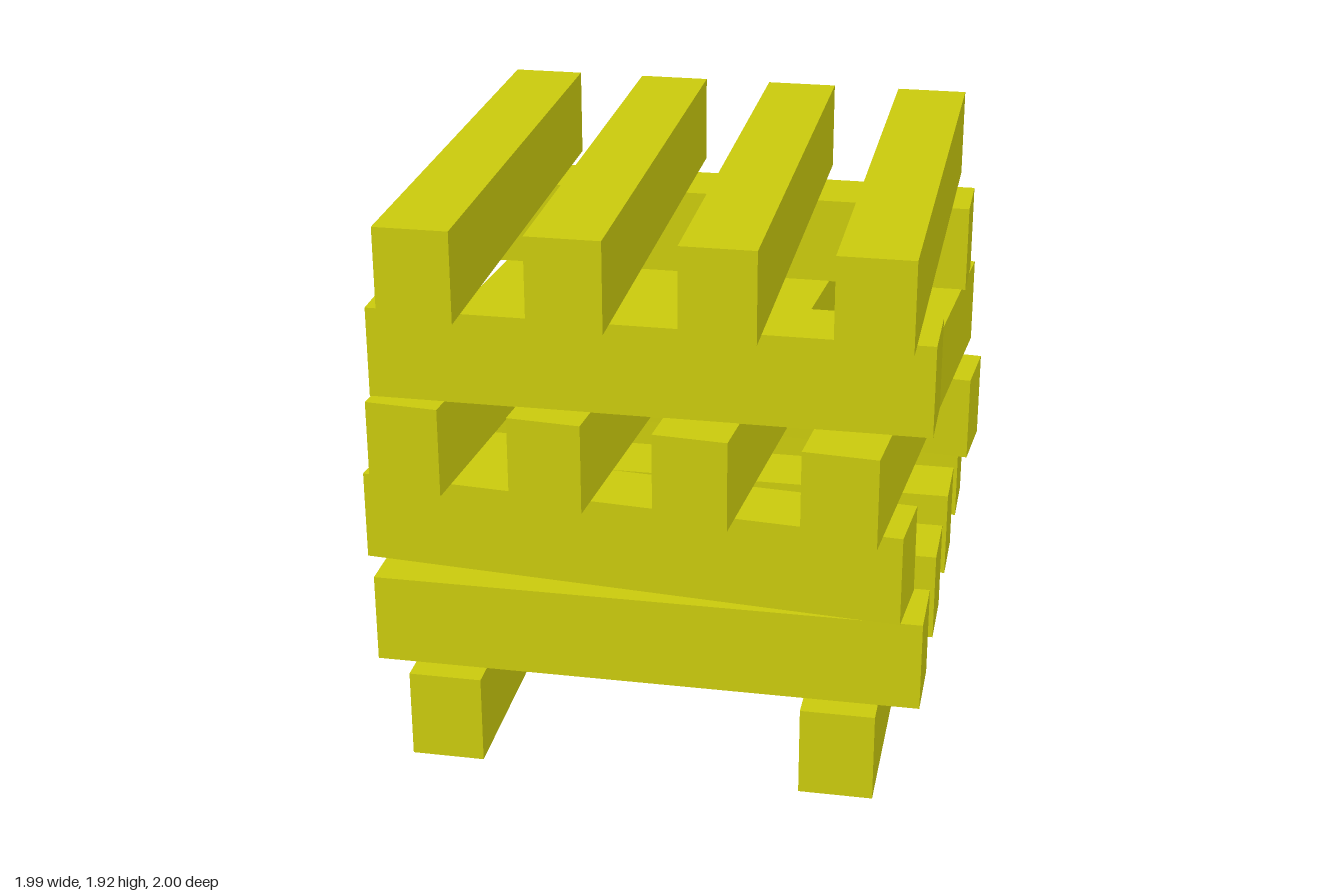
import * as THREE from 'three';

const LENGTH = 1.86, WIDTH = 0.25, HEIGHT = 0.313;
const TWIST = THREE.MathUtils.degToRad(-4.9);

// Each layer: bottom height, run axis, beam offsets across the run, twist and centre
const PAIR = [-0.672, 0.672];
const FOUR = [-0.735, -0.245, 0.245, 0.735];
const LAYERS = [
  { name: 'baseRunners', y: 0, axis: 'z', offsets: PAIR, twist: 0, x: -0.007, z: -0.002 },
  { name: 'lowerSlats', y: 0.329, axis: 'x', offsets: FOUR, twist: 0, x: 0, z: 0.01 },
  { name: 'lowerTwistedPair', y: 0.642, axis: 'x', offsets: PAIR, twist: TWIST, x: -0.003, z: 0.006 },
  { name: 'upperTwistedSlats', y: 0.969, axis: 'z', offsets: FOUR, twist: TWIST, x: 0.006, z: 0 },
  { name: 'upperPair', y: 1.281, axis: 'x', offsets: PAIR, twist: 0, x: 0, z: 0.003 },
  { name: 'topSlats', y: 1.607, axis: 'z', offsets: FOUR, twist: 0, x: 0.01, z: -0.003 },
];

export function createModel() {
  const model = new THREE.Group();
  model.name = 'stackedBeams';
  const wood = new THREE.MeshStandardMaterial({ color: 0xcccc0d });
  wood.name = 'yellow';
  const beams = {
    x: new THREE.BoxGeometry(LENGTH, HEIGHT, WIDTH),
    z: new THREE.BoxGeometry(WIDTH, HEIGHT, LENGTH),
  };

  for (const { name, y, axis, offsets, twist, x, z } of LAYERS) {
    const layer = new THREE.Group();
    layer.name = name;
    layer.position.set(x, y + HEIGHT / 2, z);
    layer.rotation.y = twist;
    offsets.forEach((offset, i) => {
      const beam = new THREE.Mesh(beams[axis], wood);
      beam.name = `${name}Beam${i + 1}`;
      beam.position[axis === 'x' ? 'z' : 'x'] = offset;
      layer.add(beam);
    });
    model.add(layer);
  }
  return model;
}
